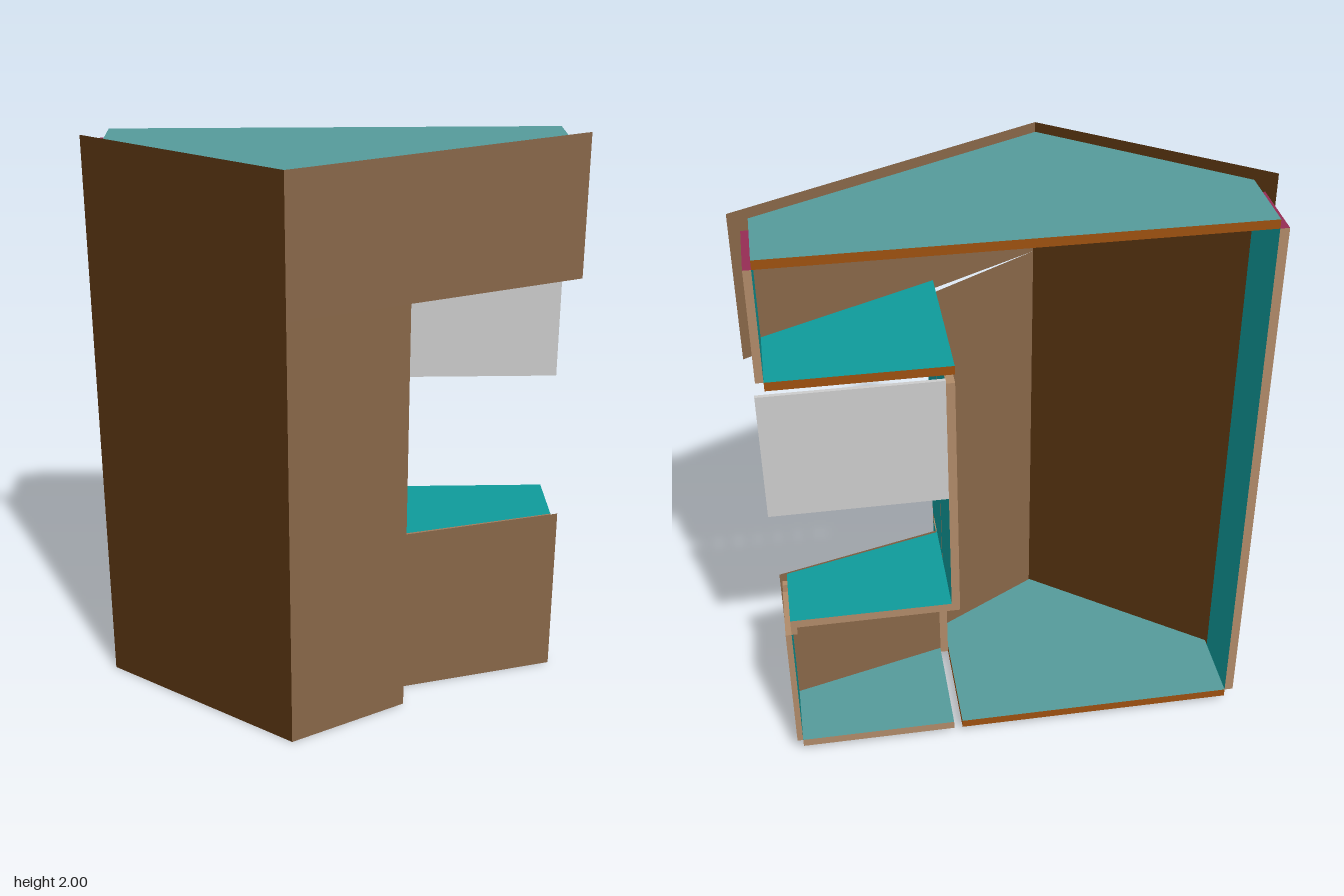
import * as THREE from 'three';

const mat = (color, side = THREE.FrontSide) =>
  new THREE.MeshStandardMaterial({ color, side, flatShading: true });

export function createModel() {
  const group = new THREE.Group();
  const teal = mat(0x0f9a9a), paleTeal = mat(0x559a9a);
  const orange = mat(0x9c500f), tan = mat(0xb08a68), maroon = mat(0x952c54);
  const brown = mat(0x876648, THREE.DoubleSide), darkBrown = mat(0x52300f, THREE.DoubleSide);
  const grey = mat(0xcccccc);

  const add = (name, geometry, material) => {
    const mesh = new THREE.Mesh(geometry, material);
    mesh.name = name;
    group.add(mesh);
    return mesh;
  };

  // Horizontal board: plan outline as [x, z] points, from y0 to y1
  const slab = (name, plan, y0, y1, face, edge) => {
    const shape = new THREE.Shape(plan.map(([x, z]) => new THREE.Vector2(x, -z)));
    const geo = new THREE.ExtrudeGeometry(shape, { depth: y1 - y0, bevelEnabled: false });
    geo.rotateX(-Math.PI / 2).translate(0, y0, 0);
    add(name, geo, [face, edge]);
  };

  // Box given by its limits
  const block = (name, x0, x1, y0, y1, z0, z1, material) => {
    const geo = new THREE.BoxGeometry(x1 - x0, y1 - y0, z1 - z0);
    geo.translate((x0 + x1) / 2, (y0 + y1) / 2, (z0 + z1) / 2);
    add(name, geo, material);
  };

  // Upright board whose broad faces look along x
  const wall = (name, x0, x1, y0, y1, z0, z1, top = tan) =>
    block(name, x0, x1, y0, y1, z0, z1, [teal, teal, top, tan, tan, tan]);

  // Thin upright sheet between plan points a and b, with its bottom height at each end
  const sheet = (name, a, b, bottomA, bottomB, topA, topB, material) => {
    const geo = new THREE.BufferGeometry();
    geo.setAttribute('position', new THREE.Float32BufferAttribute([
      a[0], bottomA, a[1], b[0], bottomB, b[1], b[0], topB, b[1], a[0], topA, a[1]], 3));
    geo.setIndex([0, 1, 2, 0, 2, 3]);
    geo.computeVertexNormals();
    add(name, geo, material);
  };

  // Front sheets meeting at the upright ridge
  const ridge = [-0.17, 0.365];
  sheet('leftFrontPanel', [-0.83, -0.13], ridge, 0, 0, 2, 2, darkBrown);
  sheet('upperFrontPanel', ridge, [0.825, -0.13], 1.53, 1.505, 2, 2, brown);
  sheet('columnFrontPanel', ridge, [0.228, 0.14], 0, 0, 1.53, 1.52, brown);
  sheet('lowerDoor', [0.228, 0.03], [0.79, -0.122], 0, 0, 0.625, 0.625, brown);

  // Top board across the whole width
  const back = -0.365;
  slab('topBoard', [[-0.765, back], [0.765, back], [0.765, -0.108], [-0.17, 0.357], [-0.765, -0.1]],
    1.94, 1.97, paleTeal, orange);

  // Floor boards of the column and of the lower box
  slab('columnFloor', [[-0.765, back], [0.2, back], [0.2, 0.145], [-0.17, 0.355], [-0.765, -0.1]],
    0.035, 0.065, paleTeal, orange);
  slab('lowerBoxFloor', [[0.23, back], [0.765, back], [0.765, -0.122], [0.23, 0.02]],
    0.035, 0.065, paleTeal, tan);

  // Board under the upper box, shelf over the lower box
  slab('upperBoxFloor', [[0.2, back], [0.765, back], [0.765, -0.108], [0.2, 0.16]],
    1.535, 1.565, teal, orange);
  slab('lowerBoxTop', [[0.2, back], [0.765, back], [0.765, -0.122], [0.23, 0.02], [0.2, 0.14]],
    0.595, 0.625, teal, tan);

  // Outer side walls
  wall('leftWall', -0.795, -0.765, 0.065, 1.94, back, -0.125, maroon);
  wall('upperRightWall', 0.765, 0.79, 1.565, 1.94, back, -0.125, maroon);
  wall('lowerRightWall', 0.765, 0.785, 0.065, 0.565, back, -0.145);
  block('lowerRightWallEdge', 0.765, 0.783, 0.065, 0.595, -0.145, -0.123, tan);
  block('lowerRightWallRim', 0.745, 0.765, 0.565, 0.595, back, -0.145, tan);

  // Inner wall of the column in two boards with a joint strip, and a short piece below
  wall('innerWallBack', 0.2, 0.228, 0.625, 1.505, back, -0.126);
  block('innerWallJoint', 0.2, 0.228, 0.625, 1.505, -0.126, -0.114, tan);
  wall('innerWallFront', 0.2, 0.228, 0.625, 1.505, -0.114, 0.138);
  wall('innerWallLower', 0.2, 0.228, 0.035, 0.595, 0.03, 0.138);

  // Hanging screen at the back of the opening
  block('screen', 0.228, 0.797, 1.068, 1.515, back, -0.352, grey);

  return group;
}
